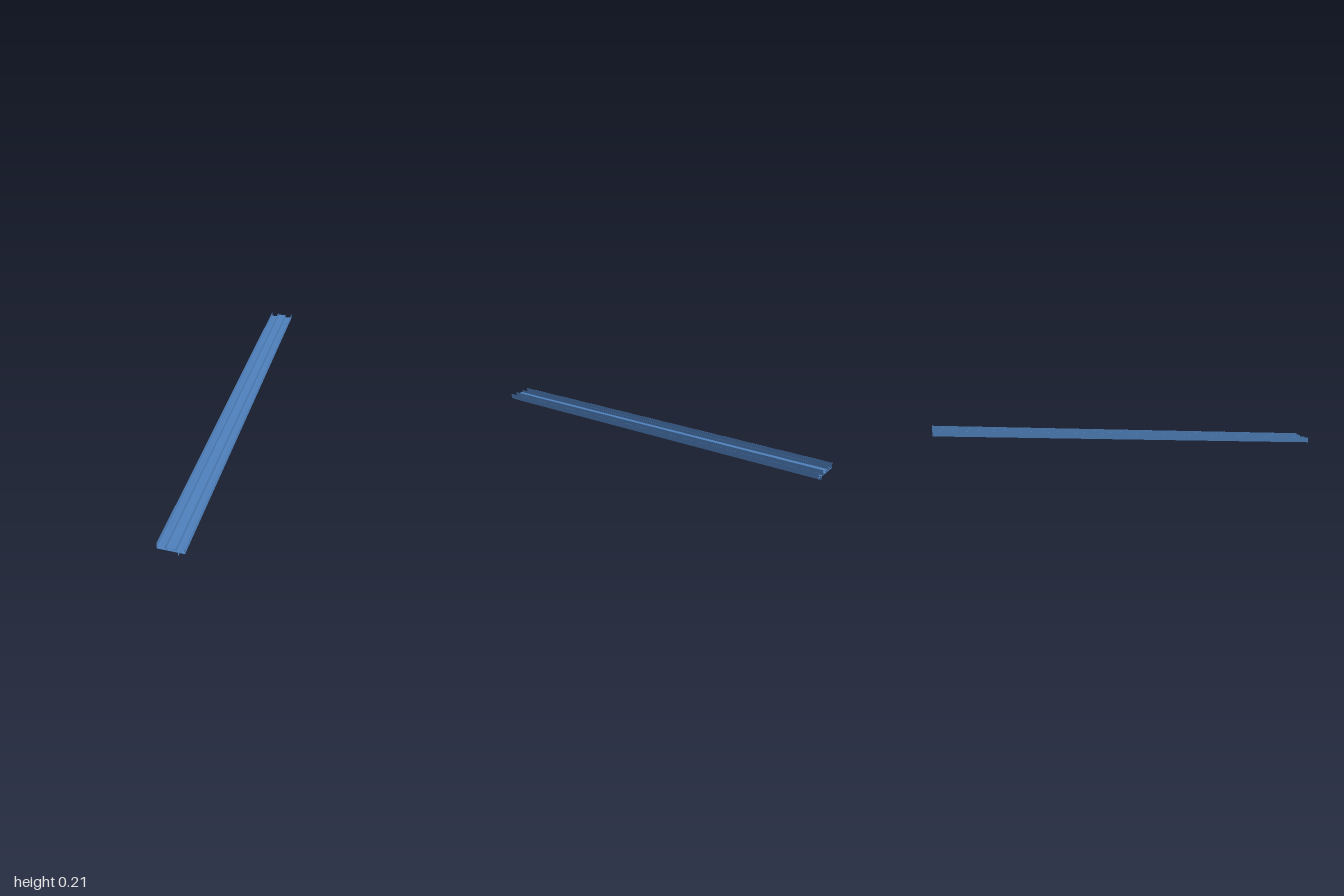
import * as THREE from 'three';

const LENGTH = 2, RISE = 0.168, THICK = 0.0008, BASE = 0.02;

export function createModel() {
  const group = new THREE.Group();
  group.name = 'slopedChannelPanel';
  const blue = new THREE.MeshStandardMaterial({ color: 0x4f81bd });
  blue.name = 'blue';

  // Thin strip along the slope; size and position describe its section at the front end.
  function strip(name, x0, x1, y0, y1) {
    const geo = new THREE.BoxGeometry(x1 - x0, y1 - y0, LENGTH);
    geo.translate((x0 + x1) / 2, (y0 + y1) / 2, 0);
    const p = geo.attributes.position;
    for (let i = 0; i < p.count; i++) {
      p.setY(i, p.getY(i) + RISE * (LENGTH / 2 - p.getZ(i)) / LENGTH);
    }
    geo.computeVertexNormals();
    const mesh = new THREE.Mesh(geo, blue);
    mesh.name = name;
    group.add(mesh);
  }
  const wall = (name, x, y0, y1) => strip(name, x - THICK / 2, x + THICK / 2, y0, y1);

  // Base sheet and raised centre
  strip('baseSheet', -0.0615, 0.0615, BASE, BASE + THICK);
  strip('centrePlateau', -0.0185, 0.0185, 0.0335 - THICK, 0.0335);

  // Upright walls, mirrored
  for (const s of [-1, 1]) {
    wall('outerWall', s * 0.0612, BASE, 0.047);
    wall('innerWall', s * 0.0231, BASE, 0.0455);
    wall('plateauSide', s * 0.0181, BASE - 0.001, 0.0335);
  }

  // Low stiffening ribs
  for (const x of [-0.051, -0.047, -0.041, 0.04, 0.0445]) {
    wall('lowRib', x, BASE, BASE + 0.004);
  }

  // Fin hanging below the sheet
  wall('lowerFin', 0.0305, 0.001, BASE);

  return group;
}
